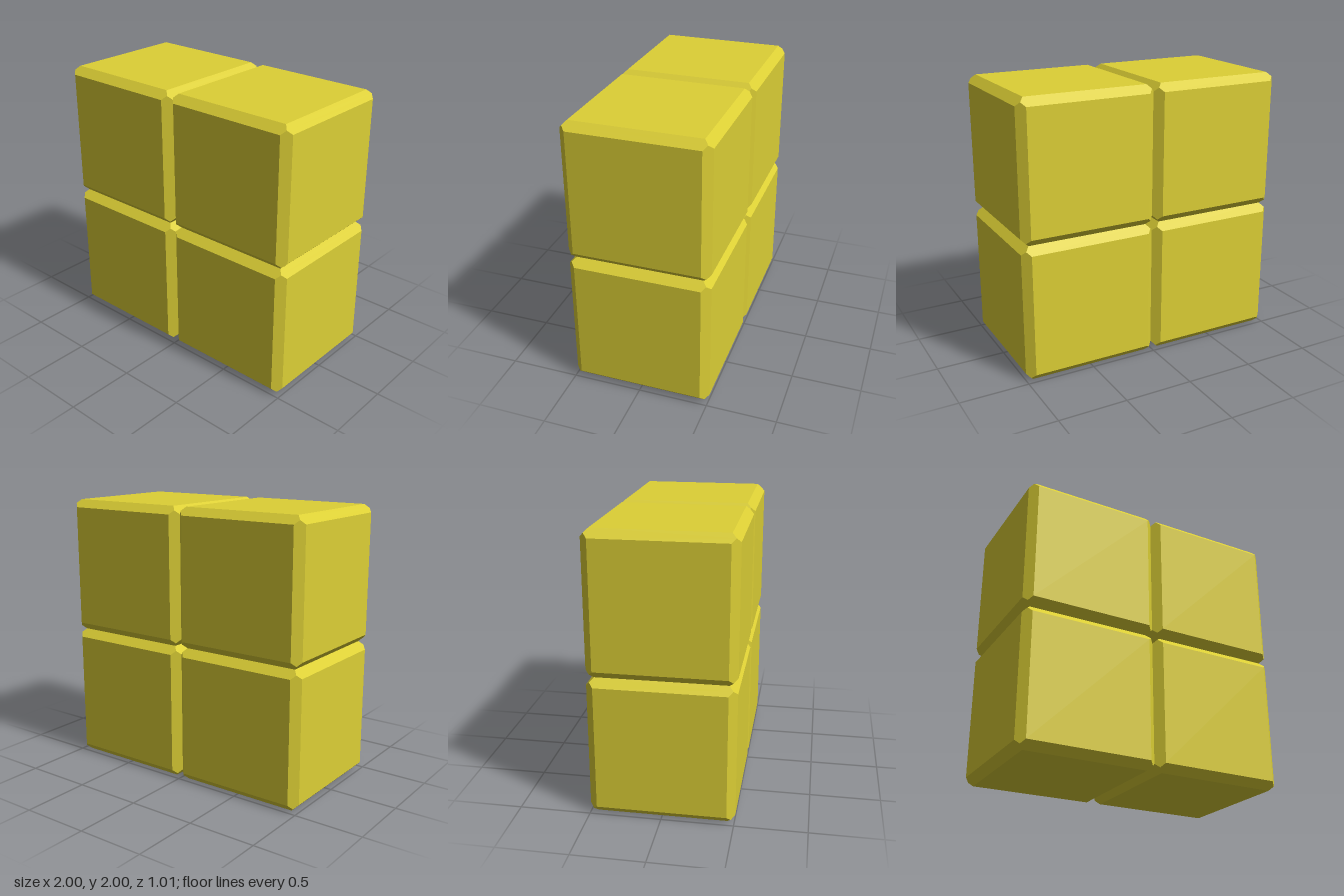
import * as THREE from 'three';
import { ConvexGeometry } from 'three/addons/geometries/ConvexGeometry.js';

// Box with flat 45-degree chamfers; three chamfers meet in a point at each corner
function chamferedBox(w, h, d, c) {
  const points = [];
  for (const sx of [-1, 1]) for (const sy of [-1, 1]) for (const sz of [-1, 1]) {
    const add = (ix, iy, iz) => points.push(
      new THREE.Vector3(sx * (w / 2 - ix), sy * (h / 2 - iy), sz * (d / 2 - iz)));
    add(0, c, c); // corner of the side face
    add(c, 0, c); // corner of the top or bottom face
    add(c, c, 0); // corner of the front or back face
    add(c / 2, c / 2, c / 2); // meeting point of the chamfers
  }
  return new ConvexGeometry(points);
}

export function createModel() {
  const model = new THREE.Group();
  model.name = 'blockWall';
  const material = new THREE.MeshStandardMaterial({ color: 0xdccf35, flatShading: true });
  const geometry = chamferedBox(1, 1, 1.012, 0.056);

  // Two by two stack of blocks
  for (const [row, y] of [['lower', 0.5], ['upper', 1.5]]) {
    for (const [side, x] of [['Right', -0.5], ['Left', 0.5]]) {
      const block = new THREE.Mesh(geometry, material);
      block.name = `${row}${side}Block`;
      block.position.set(x, y, 0);
      model.add(block);
    }
  }
  return model;
}
